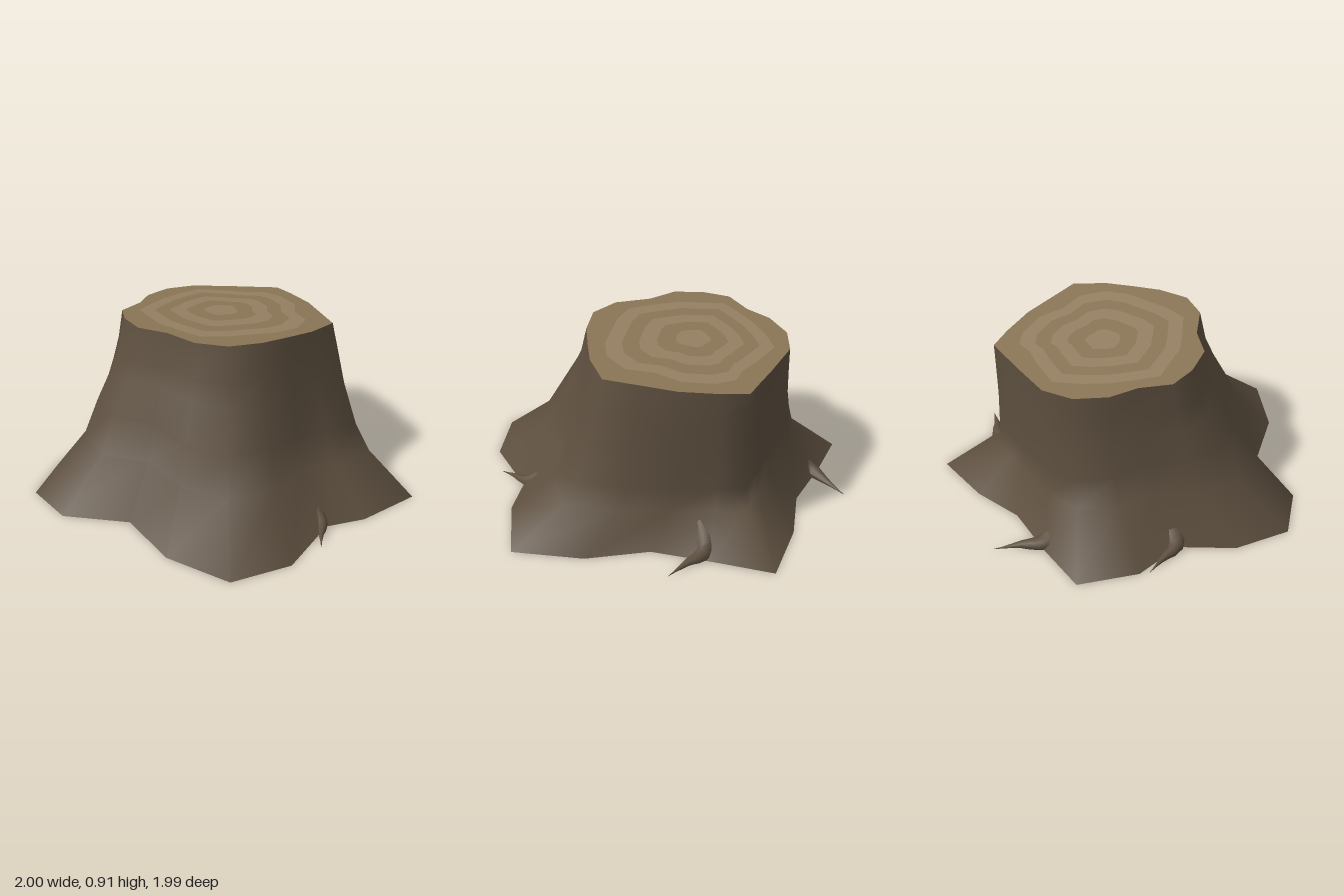
import * as THREE from 'three';

// ground outline and cut outline, matched point for point [x, z], from the back round by +x
const BASE = [
  [-0.01, -1], [0.22, -0.82], [0.45, -0.61], [0.72, -0.5], [1, -0.31],
  [0.85, -0.02], [0.71, 0.27], [0.69, 0.61], [0.56, 0.97], [0.2, 0.95],
  [0, 0.87], [-0.36, 0.99], [-0.67, 0.9], [-0.79, 0.56], [-0.76, 0.2],
  [-1, -0.07], [-1, -0.36], [-0.75, -0.55], [-0.45, -0.62], [-0.3, -0.85],
];
const CUT = [
  [0.1, -0.61], [0.27, -0.57], [0.46, -0.41], [0.56, -0.32], [0.65, -0.24],
  [0.63, -0.1], [0.58, 0.1], [0.5, 0.27], [0.42, 0.44], [0.23, 0.475],
  [0.07, 0.465], [-0.09, 0.45], [-0.26, 0.39], [-0.36, 0.25], [-0.38, 0.05],
  [-0.45, -0.11], [-0.42, -0.28], [-0.35, -0.41], [-0.19, -0.47], [-0.07, -0.565],
];
const HEART = [0.09, -0.1];
const cutHeight = (x, z) => 0.888 - 0.05 * x + 0.035 * z;

// skin closed rings of equal point count
function loft(rings) {
  const n = rings[0].length, index = [];
  for (let j = 0; j < rings.length - 1; j++) {
    for (let i = 0; i < n; i++) {
      const a = j * n + i, b = j * n + (i + 1) % n;
      index.push(a, a + n, b, b, a + n, b + n);
    }
  }
  const geo = new THREE.BufferGeometry();
  geo.setAttribute('position', new THREE.Float32BufferAttribute(rings.flat(2), 3));
  geo.setIndex(index);
  geo.computeVertexNormals();
  return geo;
}

// flaring bark: the flare is abrupt on +x and the back, gentle on -x and the front
function barkRings() {
  // height, share of the flare, how much lower the ring sits towards +x
  const levels = [[0.22, 1, 0.045], [0.38, 0.66, 0.09], [0.58, 0.34, 0.05], [0.74, 0.15, 0]];
  const rings = levels.map(([h, spread, drop]) => BASE.map(([bx, bz], i) => {
    const [cx, cz] = CUT[i], r = Math.hypot(bx, bz), nx = bx / r, nz = bz / r;
    const corner = Math.max(0, nx) * Math.max(0, nz);
    const k = 0.34 - 0.19 * nx + 0.1 * nz + 0.38 * corner;
    const t = k * Math.pow(spread, Math.max(1, 0.36 / k));
    return [cx + (bx - cx) * t, h - drop * nx, cz + (bz - cz) * t];
  }));
  return [BASE.map(([x, z]) => [x, 0, z]), ...rings, growthRing(1)];
}

// growth ring outline, slightly five-lobed inside
function growthRing(f) {
  return CUT.map(([x, z]) => {
    const a = Math.atan2(z - HEART[1], x - HEART[0]);
    const s = f * (1 + (f < 1 ? 0.07 * Math.sin(5 * a + 0.6) : 0));
    const px = HEART[0] + (x - HEART[0]) * s, pz = HEART[1] + (z - HEART[1]) * s;
    return [px, cutHeight(px, pz), pz];
  });
}

// tapering root with a bent tip, kept above the ground
function rootGeometry(points) {
  const curve = new THREE.CatmullRomCurve3(points.map((p) => new THREE.Vector3(...p)));
  const steps = 24, sides = 10;
  const geo = new THREE.TubeGeometry(curve, steps, 1, sides, false);
  const pos = geo.attributes.position, v = new THREE.Vector3();
  for (let j = 0; j <= steps; j++) {
    const t = j / steps, c = curve.getPointAt(t);
    const radius = 0.18 * Math.pow(1 - t * t, 1.5) + 0.001;
    for (let i = 0; i <= sides; i++) {
      const id = j * (sides + 1) + i;
      v.fromBufferAttribute(pos, id).sub(c).multiplyScalar(radius).add(c);
      pos.setXYZ(id, v.x, Math.max(v.y, 0.002), v.z);
    }
  }
  geo.computeVertexNormals();
  return geo;
}

export function createModel() {
  const model = new THREE.Group();
  const material = (color) => new THREE.MeshStandardMaterial({ color, side: THREE.DoubleSide });
  const bark = material(0x5c4e3e);
  const woods = [material(0x8a7555), material(0x958062)];
  const add = (name, geo, mat, parent = model) => {
    const mesh = new THREE.Mesh(geo, mat);
    mesh.name = name;
    parent.add(mesh);
  };

  add('bark', loft(barkRings()), bark);

  // cut face in alternating bands
  const face = new THREE.Group();
  face.name = 'cutFace';
  model.add(face);
  const bands = [1, 0.8, 0.65, 0.5, 0.34, 0.17, 0];
  for (let i = 0; i < bands.length - 1; i++) {
    add('growthRing', loft([growthRing(bands[i]), growthRing(bands[i + 1])]), woods[i % 2], face);
  }

  // roots under the flare: elbow and tip [x, z]
  const roots = new THREE.Group();
  roots.name = 'roots';
  model.add(roots);
  const ends = [
    [[0.78, 0.0], [0.91, 0.22]],
    [[-0.01, 0.84], [-0.15, 0.98]],
    [[-0.68, -0.08], [-0.82, -0.21]],
    [[-0.44, -0.62], [-0.35, -0.83]],
    [[0.22, -0.76], [0.48, -0.88]],
  ];
  for (const [[ex, ez], [tx, tz]] of ends) {
    add('root', rootGeometry([
      [ex * 0.05, 0.42, ez * 0.05],
      [ex * 0.5, 0.17, ez * 0.5],
      [ex, 0.015, ez],
      [(ex + tx) / 2, 0.012, (ez + tz) / 2],
      [tx, 0.005, tz],
    ]), bark, roots);
  }
  return model;
}
